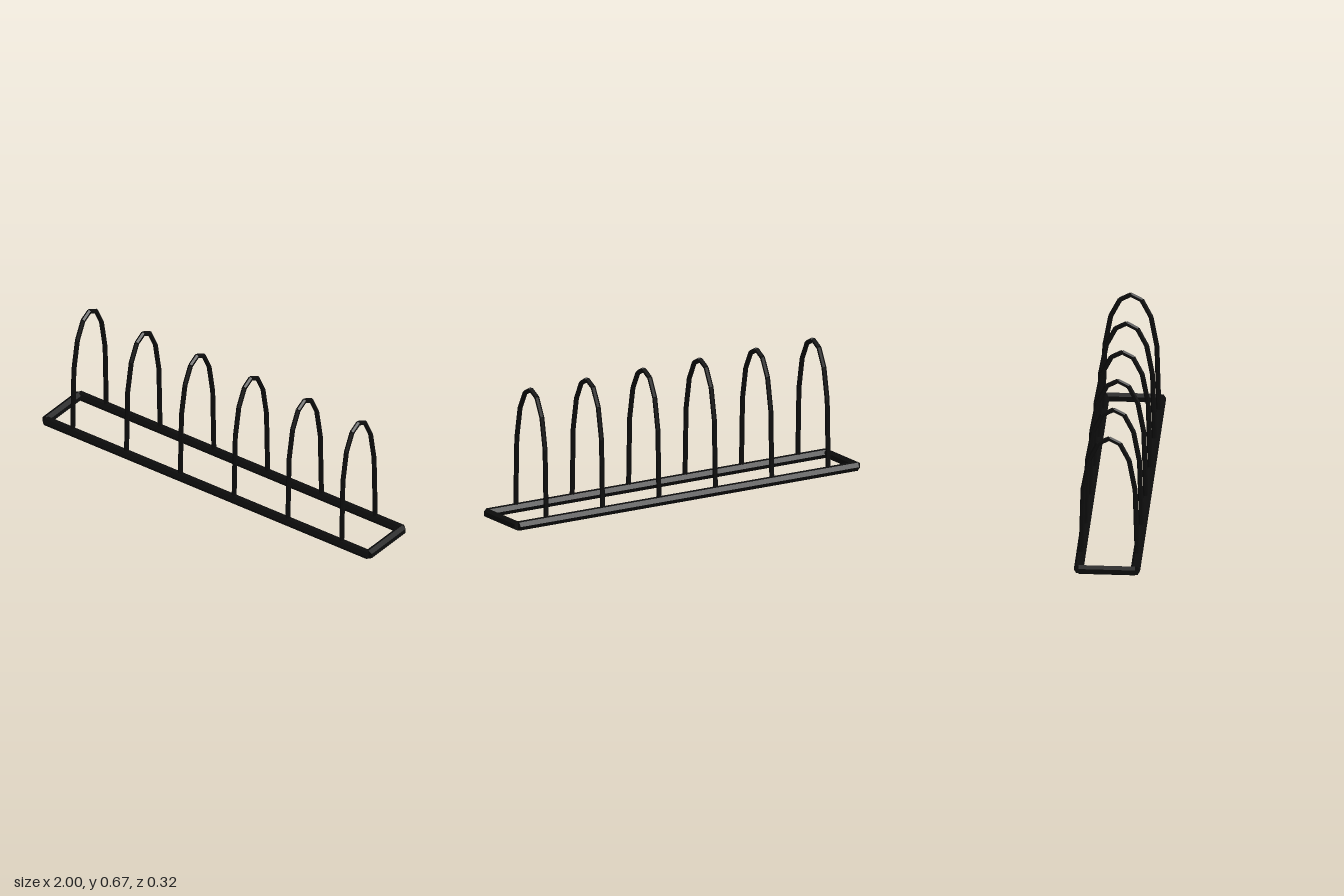
import * as THREE from 'three';

const UP = new THREE.Vector3(0, 1, 0);

// Straight six-sided bar between two points
function bar(name, a, b, radius, material) {
  const start = new THREE.Vector3(...a);
  const dir = new THREE.Vector3(...b).sub(start);
  const mesh = new THREE.Mesh(new THREE.CylinderGeometry(radius, radius, dir.length(), 6), material);
  mesh.name = name;
  mesh.position.copy(start).addScaledVector(dir, 0.5);
  mesh.quaternion.setFromUnitVectors(UP, dir.normalize());
  return mesh;
}

export function createModel() {
  const model = new THREE.Group();
  model.name = 'hoopRack';
  const blackMetal = new THREE.MeshStandardMaterial({ color: 0x0d0d0d, flatShading: true });
  blackMetal.name = 'blackMetal';

  // Base frame: two long rails and two end rails
  const R = 0.0237, X = 0.9795, Z = 0.138;
  const base = new THREE.Group();
  base.name = 'baseFrame';
  for (const s of [1, -1]) {
    base.add(bar(s > 0 ? 'frontRail' : 'backRail', [-X, R, s * Z], [X, R, s * Z], R, blackMetal));
    base.add(bar(s > 0 ? 'leftEndRail' : 'rightEndRail', [s * X, R, -Z], [s * X, R, Z], R, blackMetal));
  }
  model.add(base);

  // Pointed hoops: half profile as [z, y], mirrored front to back
  const profile = [[0.137, R], [0.127, 0.381], [0.098, 0.539], [0.053, 0.628], [0, 0.656]];
  for (let i = 0; i < 6; i++) {
    const hoop = new THREE.Group();
    hoop.name = 'hoop' + (i + 1);
    hoop.position.x = (i - 2.5) * 0.3265;
    for (const s of [1, -1]) {
      for (let j = 0; j < profile.length - 1; j++) {
        const [z0, y0] = profile[j], [z1, y1] = profile[j + 1];
        hoop.add(bar(j ? 'hoopArch' : 'hoopLeg', [0, y0, s * z0], [0, y1, s * z1], 0.0121, blackMetal));
      }
    }
    model.add(hoop);
  }
  return model;
}
